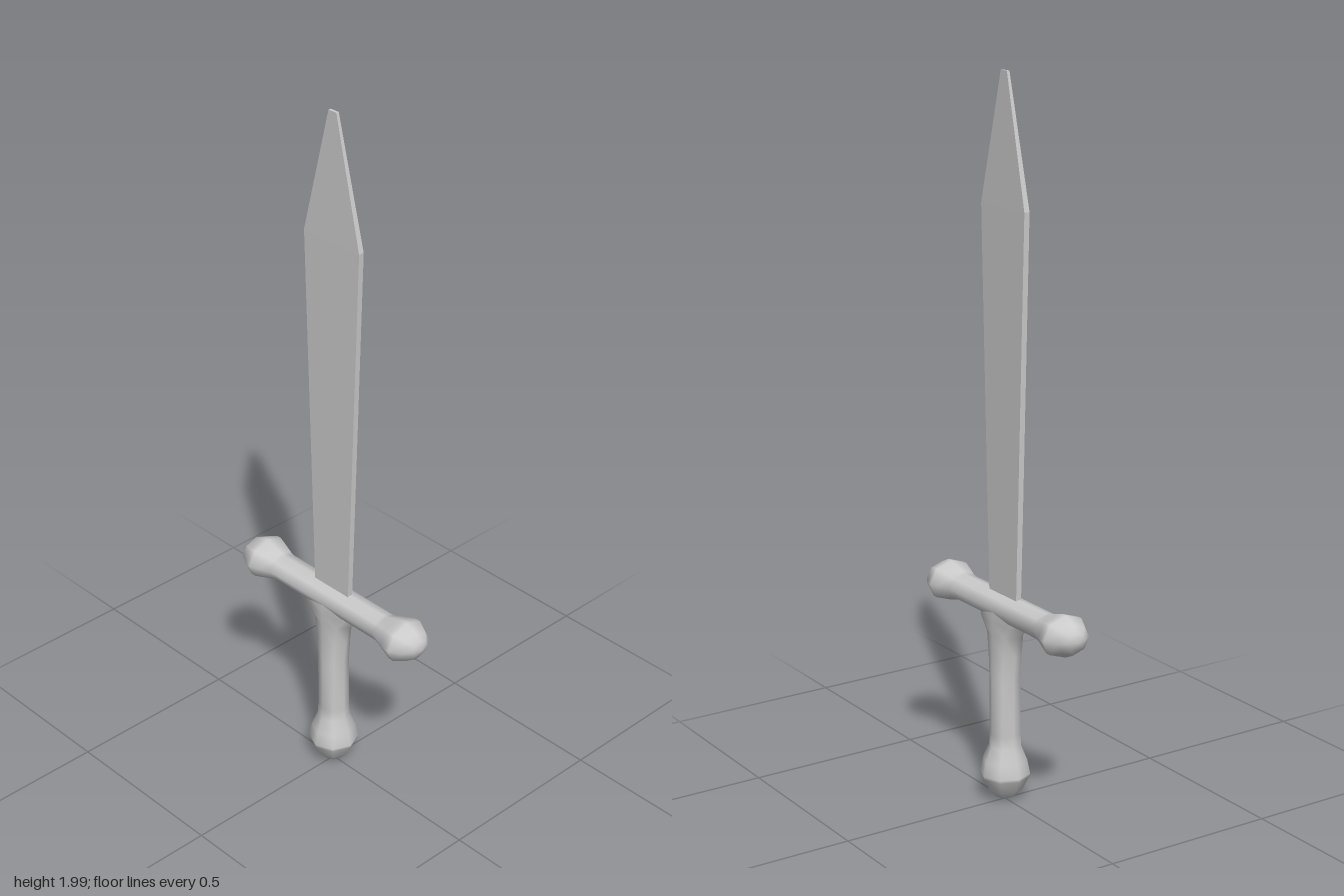
import * as THREE from 'three';
import { mergeVertices } from 'three/addons/utils/BufferGeometryUtils.js';

const grey = new THREE.MeshStandardMaterial({ color: 0xcccccc });
const flatGrey = new THREE.MeshStandardMaterial({ color: 0xcccccc, flatShading: true });

// Eight-sided smooth turned shape; reshape(v) adjusts each vertex
function turned(profile, reshape) {
  let g = new THREE.LatheGeometry(profile.map(([r, y]) => new THREE.Vector2(r, y)), 8);
  g.deleteAttribute('uv');
  g.deleteAttribute('normal');
  const p = g.attributes.position;
  const v = new THREE.Vector3();
  for (let i = 0; i < p.count; i++) {
    v.fromBufferAttribute(p, i);
    reshape(v);
    p.setXYZ(i, v.x, v.y, v.z);
  }
  g = mergeVertices(g, 1e-5);
  g.computeVertexNormals();
  return g;
}

function addPart(group, name, geometry, material) {
  const mesh = new THREE.Mesh(geometry, material);
  mesh.name = name;
  group.add(mesh);
  return mesh;
}

export function createModel() {
  const sword = new THREE.Group();
  sword.name = 'sword';

  // Blade: a box with three levels of [y, half width, half thickness]
  const levels = [[0.57, 0.064, 0.008], [1.65, 0.1, 0.008], [2, 0.014, 0.004]];
  const blade = new THREE.BoxGeometry(2, 2, 2, 1, 2, 1);
  const p = blade.attributes.position;
  for (let i = 0; i < p.count; i++) {
    const [y, w, t] = levels[Math.round(p.getY(i)) + 1];
    p.setXYZ(i, p.getX(i) * w, y, p.getZ(i) * t);
  }
  blade.computeVertexNormals();
  addPart(sword, 'blade', blade, flatGrey);

  // Grip and pommel: round below, spreading sideways into the guard
  const grip = [
    [0, 0.006], [0.028, 0.016], [0.05, 0.04], [0.068, 0.076], [0.07, 0.085], [0.062, 0.125],
    [0.045, 0.165], [0.043, 0.2], [0.043, 0.36], [0.043, 0.43], [0.043, 0.49], [0.043, 0.525], [0.04, 0.56],
  ];
  const spread = { 0.43: 1.16, 0.49: 1.4, 0.525: 2.35, 0.56: 2.9 };
  addPart(sword, 'gripAndPommel', turned(grip, (v) => {
    for (const y in spread) if (Math.abs(v.y - y) < 1e-4) v.x *= spread[y];
  }), grey);

  // Crossguard: a slightly flattened bar with a knob at each end
  const half = [
    [0.045, 0.1], [0.045, 0.195], [0.049, 0.21], [0.062, 0.245], [0.07, 0.268],
    [0.07, 0.283], [0.05, 0.318], [0.028, 0.333], [0, 0.341],
  ];
  const bar = [...half.map(([r, y]) => [r, -y]).reverse(), ...half];
  const guard = addPart(sword, 'crossguard', turned(bar, (v) => { v.x *= 0.83; }), grey);
  guard.rotation.z = -Math.PI / 2;
  guard.position.y = 0.564;

  return sword;
}
